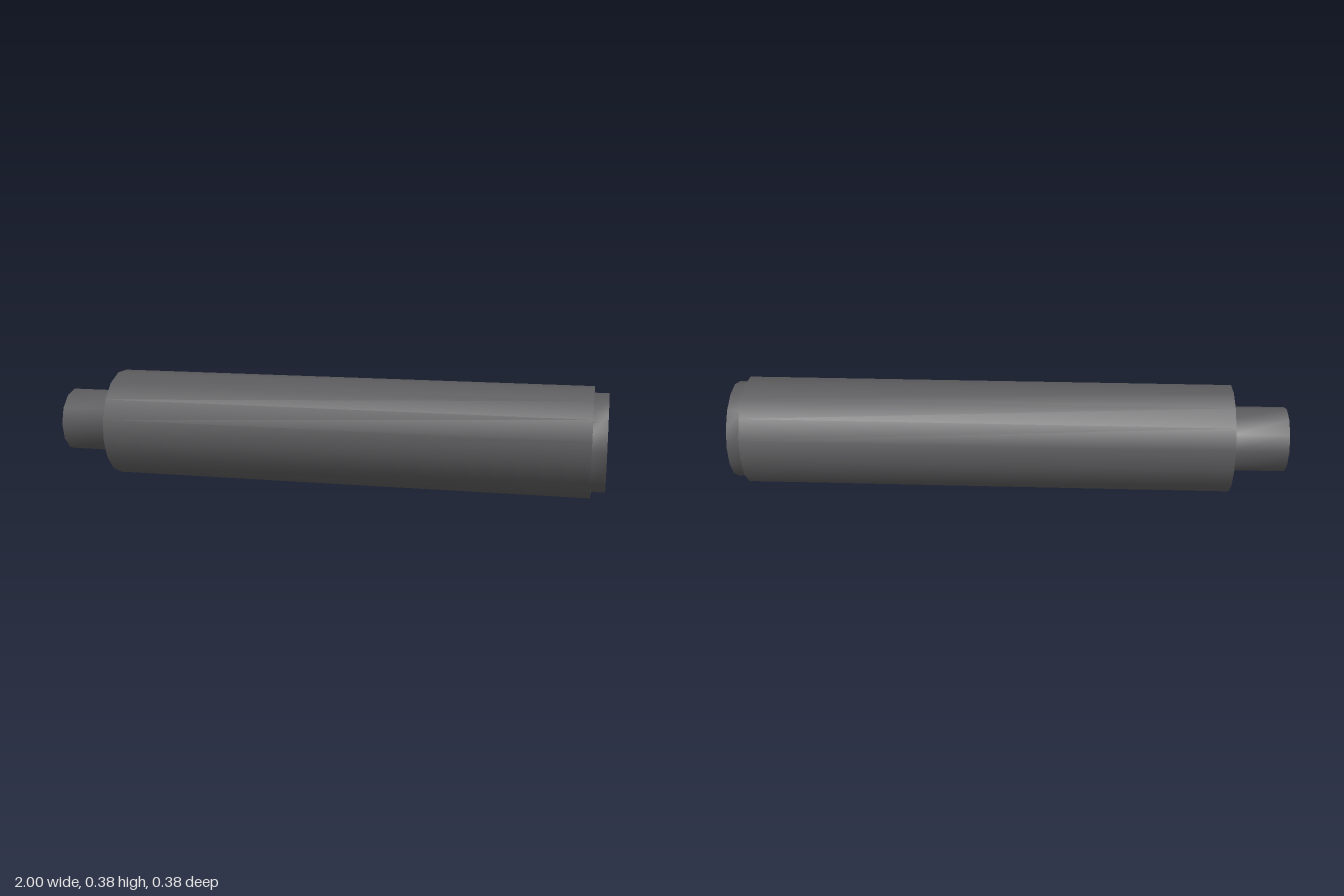
import * as THREE from 'three';
import { toCreasedNormals } from 'three/addons/utils/BufferGeometryUtils.js';

const AXIS_Y = 0.192;

// Points of a regular polygon
function ring(radius, sides, phase = 0) {
  return Array.from({ length: sides }, (_, i) => {
    const a = phase + (i / sides) * Math.PI * 2;
    return new THREE.Vector2(Math.cos(a) * radius, Math.sin(a) * radius);
  });
}

// Smooth-sided prism along x, with an optional round hole
function prism(name, material, x0, x1, outline, hole) {
  const shape = new THREE.Shape(outline);
  if (hole) shape.holes.push(new THREE.Path(hole));
  const extruded = new THREE.ExtrudeGeometry(shape, { depth: x1 - x0, bevelEnabled: false });
  extruded.rotateY(Math.PI / 2);
  extruded.translate(x0, AXIS_Y, 0);
  const geometry = toCreasedNormals(extruded, 0.6);
  geometry.clearGroups();
  const mesh = new THREE.Mesh(geometry, material);
  mesh.name = name;
  return mesh;
}

export function createModel() {
  const darkMetal = new THREE.MeshStandardMaterial({ color: 0x5a5a5c });
  darkMetal.name = 'darkGreyMetal';

  const model = new THREE.Group();
  model.name = 'cylinderTube';
  model.add(
    // Narrow mounting stub
    prism('rearStub', darkMetal, -1, -0.8, ring(0.117, 12)),
    // Main tube, with flats at top and bottom
    prism('tubeBody', darkMetal, -0.8, 0.95, ring(0.1957, 16, Math.PI / 16)),
    // Stepped end cap with a bore; the tube end closes the bore
    prism('endCap', darkMetal, 0.95, 1, ring(0.175, 16), ring(0.049, 32)),
  );
  return model;
}
